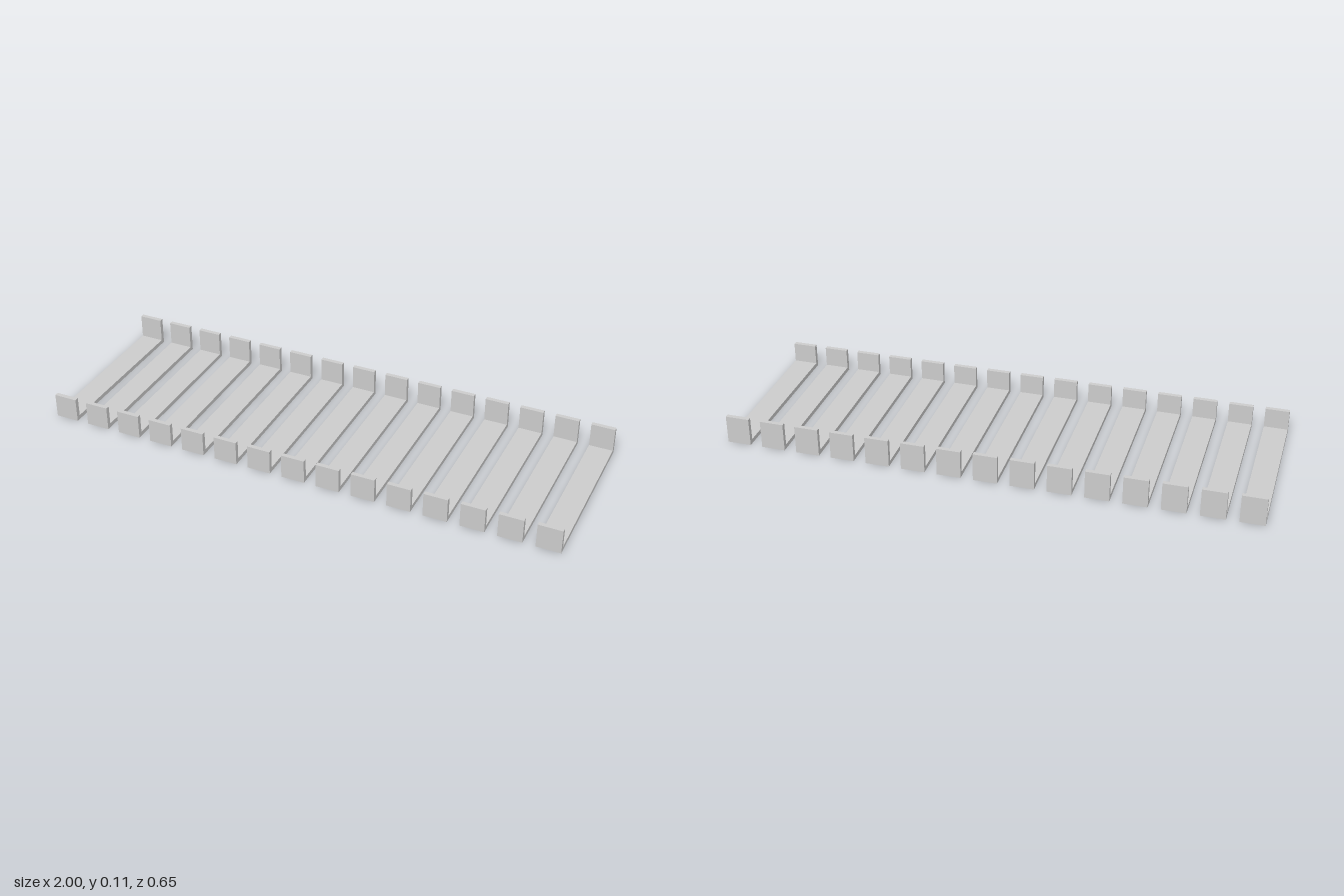
import * as THREE from 'three';

const COUNT = 15;
const WIDTH = 0.09;      // slat width along x
const HALF_DEPTH = 0.325;
const WALL = 0.0165;     // plate thickness
const FRONT_HEIGHT = 0.093;
const BACK_HEIGHT = 0.108;

export function createModel() {
  const model = new THREE.Group();
  model.name = 'bracketRow';
  const material = new THREE.MeshStandardMaterial({ color: 0xcccccc, flatShading: true });

  // U-shaped side profile: shape x is the model's z, front lip lower than the back lip
  const inner = HALF_DEPTH - WALL;
  const profile = new THREE.Shape([
    [-HALF_DEPTH, 0], [HALF_DEPTH, 0],
    [HALF_DEPTH, FRONT_HEIGHT], [inner, FRONT_HEIGHT],
    [inner, WALL], [-inner, WALL],
    [-inner, BACK_HEIGHT], [-HALF_DEPTH, BACK_HEIGHT],
  ].map(([z, y]) => new THREE.Vector2(z, y)));

  const geometry = new THREE.ExtrudeGeometry(profile, { depth: WIDTH, bevelEnabled: false });
  geometry.translate(0, 0, -WIDTH / 2);
  geometry.rotateY(-Math.PI / 2);

  // Evenly spaced row of identical brackets
  const pitch = (2 - WIDTH) / (COUNT - 1);
  for (let i = 0; i < COUNT; i++) {
    const bracket = new THREE.Mesh(geometry, material);
    bracket.name = `bracket${i + 1}`;
    bracket.position.x = (i - (COUNT - 1) / 2) * pitch;
    model.add(bracket);
  }
  return model;
}
